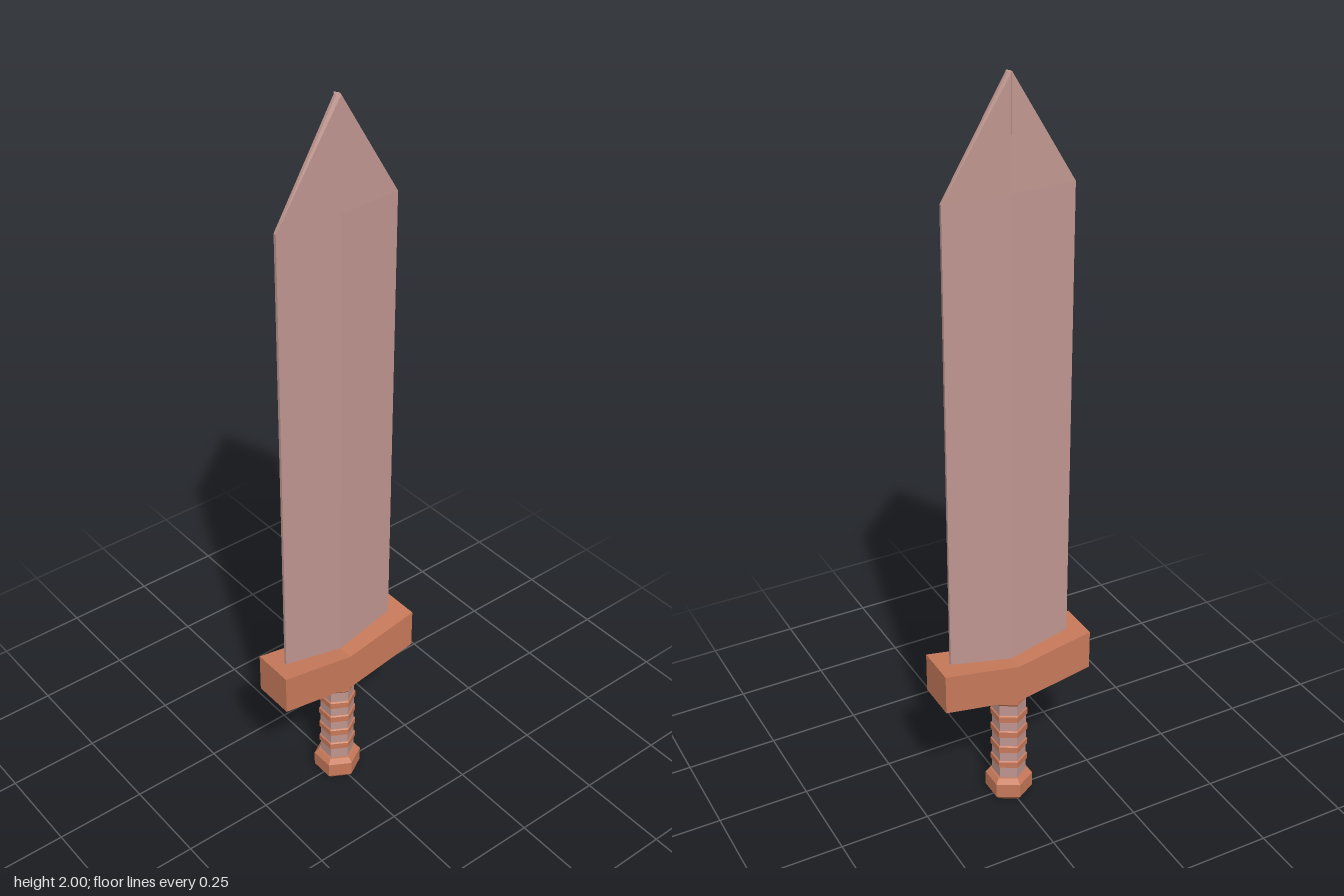
import * as THREE from 'three';

const copper = new THREE.MeshStandardMaterial({ color: 0xc87a5a, flatShading: true });
const steel = new THREE.MeshStandardMaterial({ color: 0xc09690, flatShading: true });

function addMesh(parent, name, geometry, material) {
  const mesh = new THREE.Mesh(geometry, material);
  mesh.name = name;
  parent.add(mesh);
  return mesh;
}

// Six-sided turned part from [radius, height] pairs, bottom to top
function hexTurned(profile) {
  return new THREE.LatheGeometry(profile.map(([r, y]) => new THREE.Vector2(r, y)), 6);
}

// Closed solid through stacked rings of equal point count
function loft(rings) {
  const n = rings[0].length;
  const index = [];
  for (let i = 0; i < rings.length - 1; i++) {
    for (let j = 0; j < n; j++) {
      const k = (j + 1) % n;
      const a = i * n + j, b = i * n + k, c = a + n, d = b + n;
      index.push(a, b, d, a, d, c);
    }
  }
  const top = (rings.length - 1) * n;
  for (let j = 1; j < n - 1; j++) {
    index.push(0, j + 1, j, top, top + j, top + j + 1);
  }
  const geometry = new THREE.BufferGeometry();
  geometry.setAttribute('position', new THREE.Float32BufferAttribute(rings.flat(2), 3));
  geometry.setIndex(index);
  geometry.computeVertexNormals();
  return geometry;
}

// Blade section: central ridge on each face, thin blunt edges
function bladeRing(y, halfWidth, edge, ridge) {
  return [
    [halfWidth, y, edge], [halfWidth, y, -edge], [0, y, -ridge],
    [-halfWidth, y, -edge], [-halfWidth, y, edge], [0, y, ridge],
  ];
}

export function createModel() {
  const sword = new THREE.Group();
  sword.name = 'sword';

  // Blade
  addMesh(sword, 'blade', loft([
    bladeRing(0.42, 0.172, 0.004, 0.014),
    bladeRing(1.725, 0.172, 0.004, 0.014),
    bladeRing(2, 0.006, 0.004, 0.013),
  ]), steel);

  // Shallow V-shaped crossguard
  const outline = new THREE.Shape([
    [0, 0.337], [0.213, 0.375], [0.213, 0.488],
    [0, 0.448], [-0.213, 0.488], [-0.213, 0.375],
  ].map(([x, y]) => new THREE.Vector2(x, y)));
  const guard = new THREE.ExtrudeGeometry(outline, { depth: 0.114, bevelEnabled: false });
  guard.translate(0, 0, -0.057);
  addMesh(sword, 'crossguard', guard, copper);

  // Grip core, collar and pommel
  const handle = new THREE.Group();
  handle.name = 'handle';
  sword.add(handle);
  addMesh(handle, 'gripCore', hexTurned([[0, 0.05], [0.046, 0.05], [0.046, 0.33], [0, 0.33]]), steel);
  addMesh(handle, 'collar', hexTurned([
    [0, 0.312], [0.046, 0.312], [0.053, 0.32], [0.053, 0.335], [0.046, 0.345], [0, 0.345],
  ]), copper);
  addMesh(handle, 'pommel', hexTurned([
    [0, 0], [0.052, 0], [0.064, 0.014], [0.064, 0.056], [0.052, 0.07], [0, 0.07],
  ]), copper);

  // Raised grip bands
  const band = hexTurned([
    [0.044, -0.013], [0.05, -0.009], [0.05, 0.009], [0.044, 0.013],
  ]);
  for (let i = 0; i < 4; i++) {
    addMesh(handle, 'gripBand' + (i + 1), band, copper).position.y = 0.115 + i * 0.051;
  }

  return sword;
}
